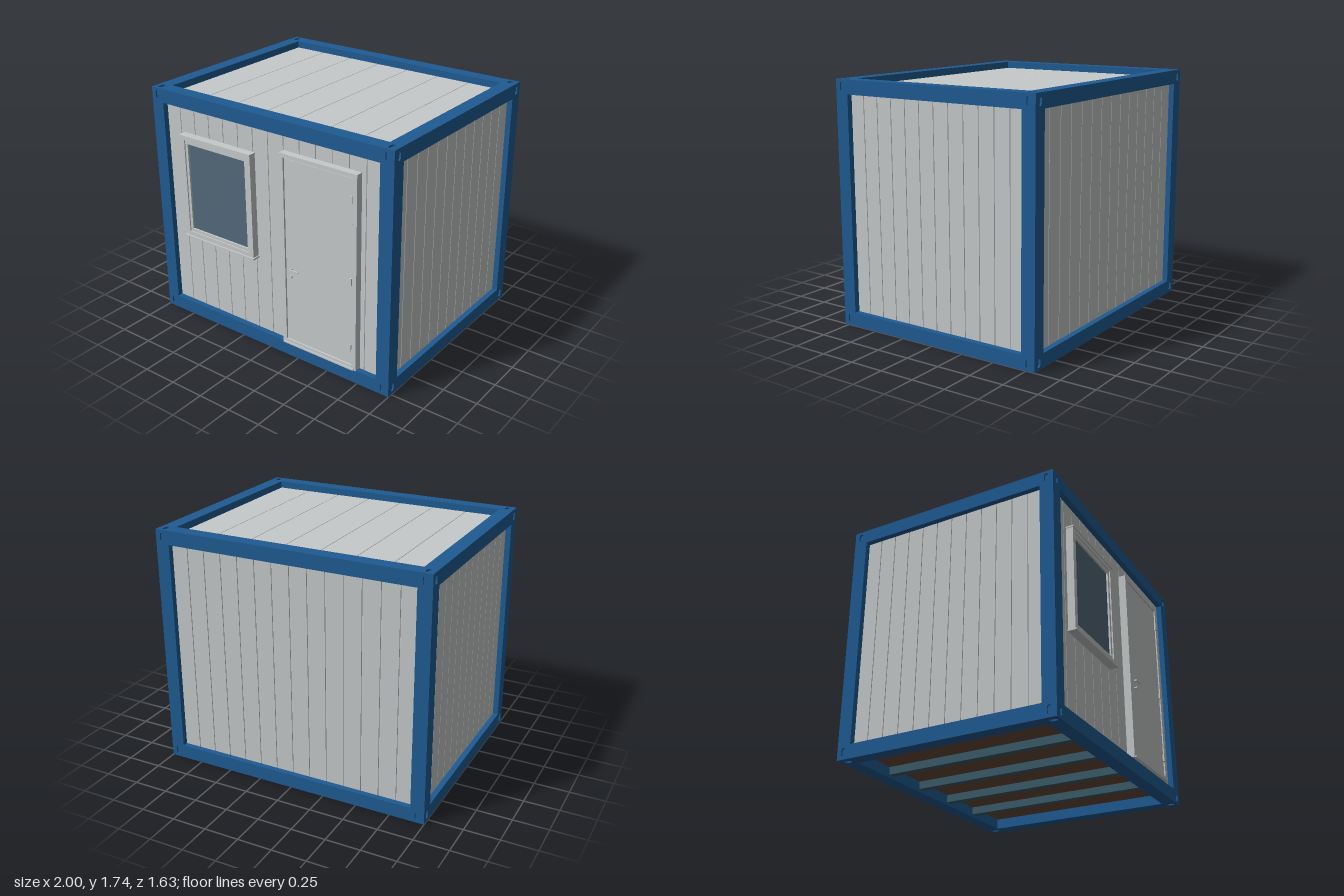
import * as THREE from 'three';

const mat = (name, color, extra = {}) => Object.assign(new THREE.MeshStandardMaterial({ color, ...extra }), { name });

export function createModel() {
  const blue = mat('frame blue', 0x1f5b93);
  const grey = mat('panel grey', 0xc6caca);
  const glass = mat('window glass', 0x546a7a);
  const seal = mat('dark seal', 0x2f4656);
  const steel = mat('joist steel', 0x3c5c6a);
  const brown = mat('floor board', 0x654a3a);

  const root = new THREE.Group();
  root.name = 'siteCabin';
  const H = 1.735, B = 0.1, ZF = 0.785, ZB = -0.815, ZC = (ZF + ZB) / 2, HZ = (ZF - ZB) / 2;

  const add = (name, geo, material, parent = root) => {
    const m = new THREE.Mesh(geo, material);
    m.name = name;
    parent.add(m);
    return m;
  };
  // Box given by its lower and upper corner
  const box = (name, material, x0, x1, y0, y1, z0, z1, parent = root) => {
    const m = add(name, new THREE.BoxGeometry(x1 - x0, y1 - y0, z1 - z0), material, parent);
    m.position.set((x0 + x1) / 2, (y0 + y1) / 2, (z0 + z1) / 2);
    return m;
  };
  const rect = (P, x0, x1, y0, y1) => {
    const p = new P();
    p.moveTo(x0, y0); p.lineTo(x1, y0); p.lineTo(x1, y1); p.lineTo(x0, y1); p.closePath();
    return p;
  };
  // Rectangular surround with an opening
  const surround = (name, material, outer, inner, z0, z1, parent) => {
    const s = rect(THREE.Shape, ...outer);
    s.holes.push(rect(THREE.Path, ...inner));
    const m = add(name, new THREE.ExtrudeGeometry(s, { depth: z1 - z0, bevelEnabled: false }), material, parent);
    m.position.z = z0;
    return m;
  };

  // Corner fittings: a core with three slotted outer plates
  const T = 0.012;
  const face = rect(THREE.Shape, -B / 2, B / 2, -B / 2, B / 2);
  const slot = new THREE.Path();
  slot.absarc(0, 0.014, 0.016, 0, Math.PI, false);
  slot.absarc(0, -0.014, 0.016, Math.PI, Math.PI * 2, false);
  slot.closePath();
  face.holes.push(slot);
  const plate = new THREE.ExtrudeGeometry(face, { depth: T, bevelEnabled: false, curveSegments: 6 });
  plate.translate(0, 0, B / 2 - T);
  for (const sx of [-1, 1]) for (const sy of [-1, 1]) for (const sz of [-1, 1]) {
    const c = new THREE.Group();
    c.name = 'cornerFitting';
    c.position.set(sx * (1 - B / 2), sy > 0 ? H - B / 2 : B / 2, ZC + sz * (HZ - B / 2));
    root.add(c);
    const core = add('core', new THREE.BoxGeometry(B - T, B - T, B - T), blue, c);
    core.position.set(-sx * T / 2, -sy * T / 2, -sz * T / 2);
    add('endPlate', plate, blue, c).rotation.y = sz > 0 ? 0 : Math.PI;
    add('sidePlate', plate, blue, c).rotation.y = sx * Math.PI / 2;
    add('capPlate', plate, blue, c).rotation.x = -sy * Math.PI / 2;
  }

  // Posts and rails
  for (const s of [-1, 1]) {
    const x0 = s > 0 ? 1 - B : -1, z0 = s > 0 ? ZF - B : ZB;
    for (const z of [ZB, ZF - B]) box('cornerPost', blue, x0, x0 + B, B, H - B, z, z + B);
    for (const y of [0, H - B]) {
      box('sideRail', blue, x0, x0 + B, y, y + B, ZB + B, ZF - B);
      box('longRail', blue, -1 + B, 1 - B, y, y + B, z0, z0 + B);
    }
  }

  // Panel with evenly spaced shallow grooves along its length
  const panelGeo = (width, length, count) => {
    const t = 0.04, g = 0.003, s = new THREE.Shape();
    s.moveTo(-width / 2, 0);
    s.lineTo(width / 2, 0);
    s.lineTo(width / 2, t);
    for (let i = count - 1; i > 0; i--) {
      const x = -width / 2 + width * i / count;
      s.lineTo(x + g, t); s.lineTo(x, t - 0.004); s.lineTo(x - g, t);
    }
    s.lineTo(-width / 2, t);
    const geo = new THREE.ExtrudeGeometry(s, { depth: length, bevelEnabled: false });
    return geo.translate(0, -t, -length / 2);
  };
  const wall = (name, width, count, x, z, turn) => {
    const geo = panelGeo(width, H - 0.12, count).rotateX(Math.PI / 2).rotateY(turn);
    add(name, geo, grey).position.set(x, H / 2, z);
  };
  const R = 0.04;
  wall('frontWall', 1.82, 14, 0, ZF - R, 0);
  wall('backWall', 1.82, 14, 0, ZB + R, Math.PI);
  wall('rightWall', 1.42, 12, 1 - R, ZC, Math.PI / 2);
  wall('leftWall', 1.42, 12, -1 + R, ZC, -Math.PI / 2);
  add('roof', panelGeo(1.82, 1.42, 7), grey).position.set(0, H - 0.05, ZC);

  // Floor and joists
  box('floor', brown, -0.91, 0.91, 0.075, 0.095, ZB + 0.09, ZF - 0.09);
  for (const x of [-0.54, -0.18, 0.18, 0.54])
    box('floorJoist', steel, x - 0.025, x + 0.025, 0.02, 0.075, ZB + B, ZF - B);

  // Window
  const win = new THREE.Group();
  win.name = 'window';
  root.add(win);
  const W = ZF - R - 0.005;
  surround('windowFrame', grey, [-0.745, -0.115, 0.675, 1.435], [-0.71, -0.15, 0.71, 1.405], W, 0.797, win);
  surround('sash', grey, [-0.71, -0.15, 0.71, 1.405], [-0.688, -0.172, 0.732, 1.38], W, 0.788, win);
  box('pane', glass, -0.69, -0.17, 0.73, 1.385, W, 0.775, win);
  box('windowHead', grey, -0.75, -0.11, 1.432, 1.444, W, 0.805, win);
  box('windowSill', grey, -0.755, -0.105, 0.667, 0.679, W, 0.808, win);

  // Door
  const door = new THREE.Group();
  door.name = 'door';
  root.add(door);
  surround('doorFrame', grey, [0.132, 0.745, 0.105, 1.52], [0.165, 0.711, 0.138, 1.492], W, 0.797, door);
  box('doorSeal', seal, 0.163, 0.713, 0.136, 1.494, W, 0.78, door);
  box('doorLeaf', grey, 0.17, 0.706, 0.143, 1.486, W, 0.79, door);
  box('threshold', grey, 0.14, 0.73, 0.106, 0.118, W, 0.806, door);
  for (const y of [0.275, 0.77, 1.345]) box('hinge', grey, 0.695, 0.71, y - 0.025, y + 0.025, 0.78, 0.802, door);

  // Handle and lock
  const knob = (name, r, y) => {
    const m = add(name, new THREE.CylinderGeometry(r, r, 0.022, 12).rotateX(Math.PI / 2), grey, door);
    m.position.set(0.218, y, 0.799);
  };
  knob('handleSpindle', 0.009, 0.7);
  knob('lock', 0.008, 0.645);
  box('handleLever', grey, 0.21, 0.285, 0.696, 0.705, 0.805, 0.815, door);

  return root;
}
